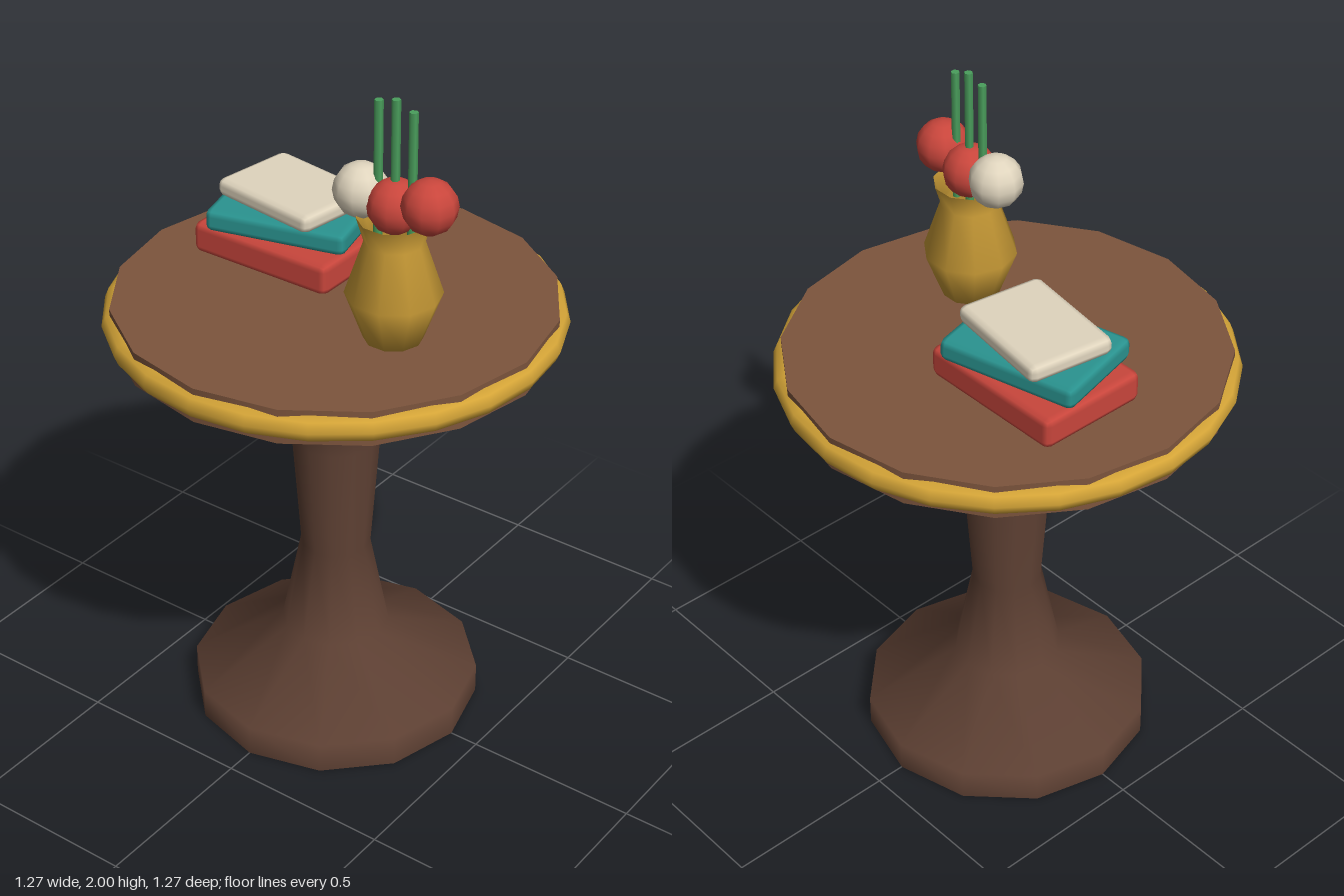
import * as THREE from 'three';
import { RoundedBoxGeometry } from 'three/addons/geometries/RoundedBoxGeometry.js';

const paint = (color) => new THREE.MeshStandardMaterial({ color });

function add(parent, name, geometry, material, x = 0, y = 0, z = 0) {
  const mesh = new THREE.Mesh(geometry, material);
  mesh.name = name;
  mesh.position.set(x, y, z);
  parent.add(mesh);
  return mesh;
}

const lathe = (points, sides) =>
  new THREE.LatheGeometry(points.map(([r, y]) => new THREE.Vector2(r, y)), sides);

export function createModel() {
  const model = new THREE.Group();
  model.name = 'sideTable';

  const darkWood = paint(0x5c3f32);
  const topWood = paint(0x7d553d);
  const gold = paint(0xd4a437);
  const red = paint(0xc9463c);
  const teal = paint(0x2a9490);
  const cream = paint(0xe0d5be);
  const green = paint(0x4a9e5c);
  const vaseGold = paint(0xc99b36);
  vaseGold.side = THREE.DoubleSide;

  // Turned pedestal with a flat underside
  add(model, 'pedestal', lathe([
    [0.415, 0], [0.415, 0.09], [0.155, 0.245], [0.1, 0.52],
    [0.125, 0.87], [0.085, 1.11], [0.35, 1.22],
  ], 12), darkWood);
  add(model, 'pedestalUnderside', new THREE.CircleGeometry(0.415, 12), darkWood)
    .rotation.x = Math.PI / 2;

  // Round top with a gilded rim
  add(model, 'tableTop', new THREE.CylinderGeometry(0.61, 0.61, 0.1, 16), topWood, 0, 1.27, 0);
  add(model, 'goldRim', new THREE.TorusGeometry(0.595, 0.038, 8, 24), gold, 0, 1.27, 0)
    .rotation.x = Math.PI / 2;

  // Stack of books, each turned a little: width, height, depth, centre y, turn
  const books = new THREE.Group();
  books.name = 'bookStack';
  books.position.set(-0.21, 0, -0.093);
  model.add(books);
  [
    ['bottomBook', 0.45, 0.09, 0.33, 1.385, 0, red],
    ['middleBook', 0.41, 0.065, 0.29, 1.463, 0.245, teal],
    ['topBook', 0.345, 0.052, 0.255, 1.523, -0.148, cream],
  ].forEach(([name, w, h, d, y, turn, material]) => {
    add(books, name, new RoundedBoxGeometry(w, h, d, 1, 0.02), material, 0, y, 0)
      .rotation.y = turn;
  });

  // Vase
  const bouquet = new THREE.Group();
  bouquet.name = 'bouquet';
  bouquet.position.set(0.26, 0, 0.1);
  model.add(bouquet);
  add(bouquet, 'vase', lathe([
    [0, 1.322], [0.08, 1.322], [0.13, 1.455], [0.08, 1.605], [0.1, 1.672],
  ], 10), vaseGold).rotation.y = Math.PI / 2;

  // Flowers: stem x, stem top, bloom x, bloom y
  [
    [-0.053, 1.985, -0.106, 1.72, cream],
    [0, 2, 0, 1.705, red],
    [0.053, 1.98, 0.106, 1.735, red],
  ].forEach(([stemX, top, x, y, material]) => {
    const length = top - 1.6;
    add(bouquet, 'stem', new THREE.CylinderGeometry(0.012, 0.012, length, 6), green,
      stemX, top - length / 2, 0);
    add(bouquet, 'bloom', new THREE.SphereGeometry(0.075, 10, 8), material, x, y, 0);
  });

  return model;
}
